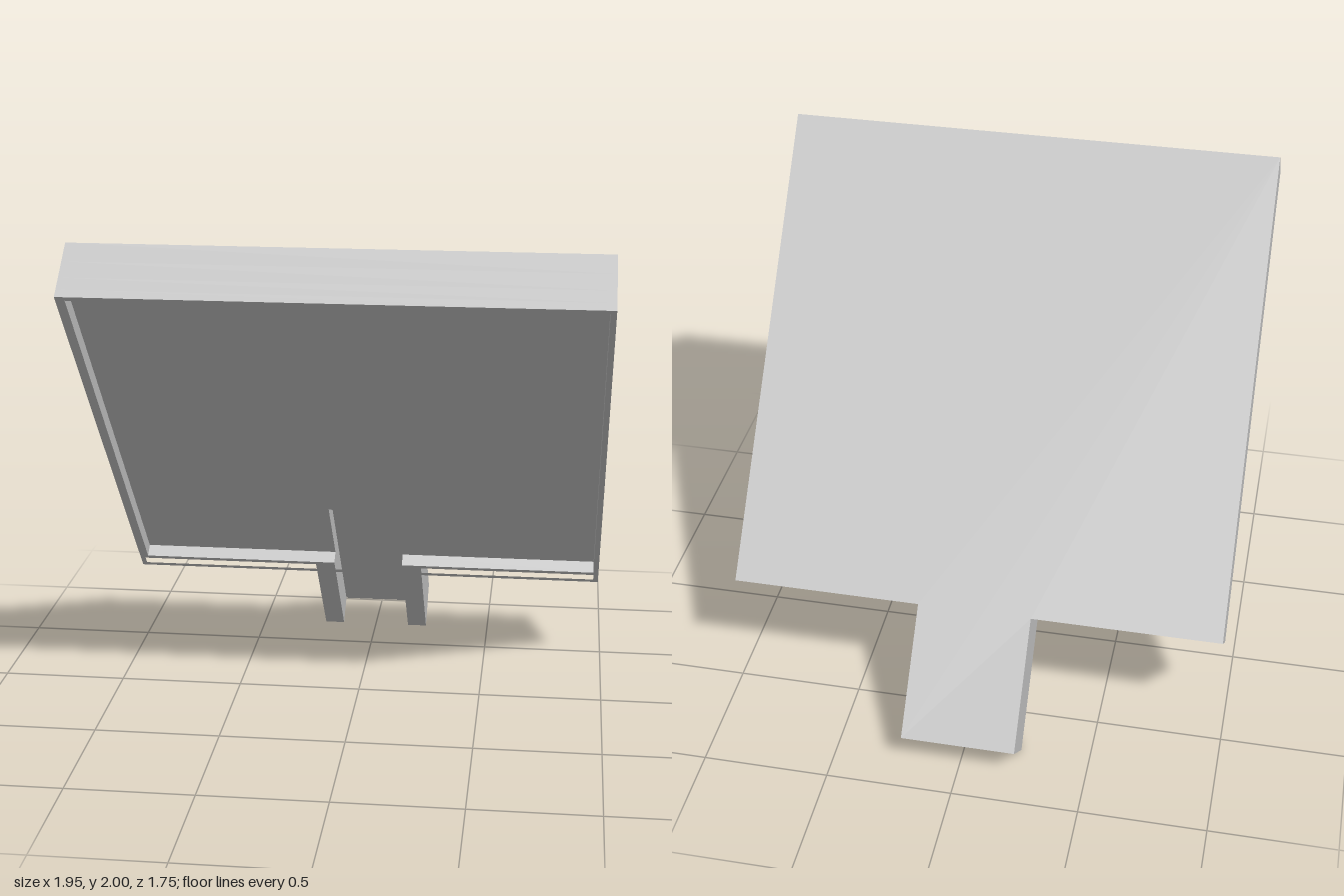
import * as THREE from 'three';

// Panel local frame: y = 0 at the top edge going down, z = 0 on the back face
const W = 0.977, H = 1.907;           // panel half width, height
const STEM = 0.226, END = 2.435;      // stem half width, lower end
const SLOT = 0.145, SLOT_TOP = 1.533; // channel half width, upper end
const RIM = 0.02;                     // rim thickness

function outline(half) {
  // mirror a right-hand half outline (x, distance down) into a closed one
  const left = half.map(([x, s]) => [-x, s]).reverse();
  return [...half, ...left].map(([x, s]) => new THREE.Vector2(x, -s));
}

export function createModel() {
  const grey = new THREE.MeshStandardMaterial({ color: 0xc4c4c4 });
  grey.name = 'light grey';
  const model = new THREE.Group();
  const tilted = new THREE.Group();
  tilted.name = 'tiltedPanel';
  tilted.rotation.x = THREE.MathUtils.degToRad(40);
  tilted.position.set(0, 2, 0.69);
  model.add(tilted);

  function layer(name, half, from, to, hole) {
    const shape = new THREE.Shape(outline(half));
    if (hole) shape.holes.push(new THREE.Path(outline(hole)));
    const geo = new THREE.ExtrudeGeometry(shape, { depth: to - from, bevelEnabled: false });
    geo.translate(0, 0, from);
    const mesh = new THREE.Mesh(geo, grey);
    mesh.name = name;
    tilted.add(mesh);
  }

  const panel = [[W, 0], [W, H]];
  const legs = [[STEM, H], [STEM, END], [SLOT, END]];
  const opening = [[W - RIM, RIM], [W - RIM, H - RIM]];

  // back sheet of the panel and stem in one piece
  layer('backPlate', [...panel, [STEM, H], [STEM, END]], 0, 0.085);
  // thick plate with the channel cut up from the stem
  layer('channelPlate', [...panel, ...legs, [SLOT, SLOT_TOP]], 0.085, 0.157);
  // rim and stem legs, with the channel passing under the lower rim
  layer('rimAndLegs', [...panel, ...legs, [SLOT, H - RIM], [W - RIM, H - RIM], [W - RIM, RIM]], 0.157, 0.21);
  // closed front rim
  layer('frontRim', panel, 0.21, 0.243, opening);

  return model;
}
